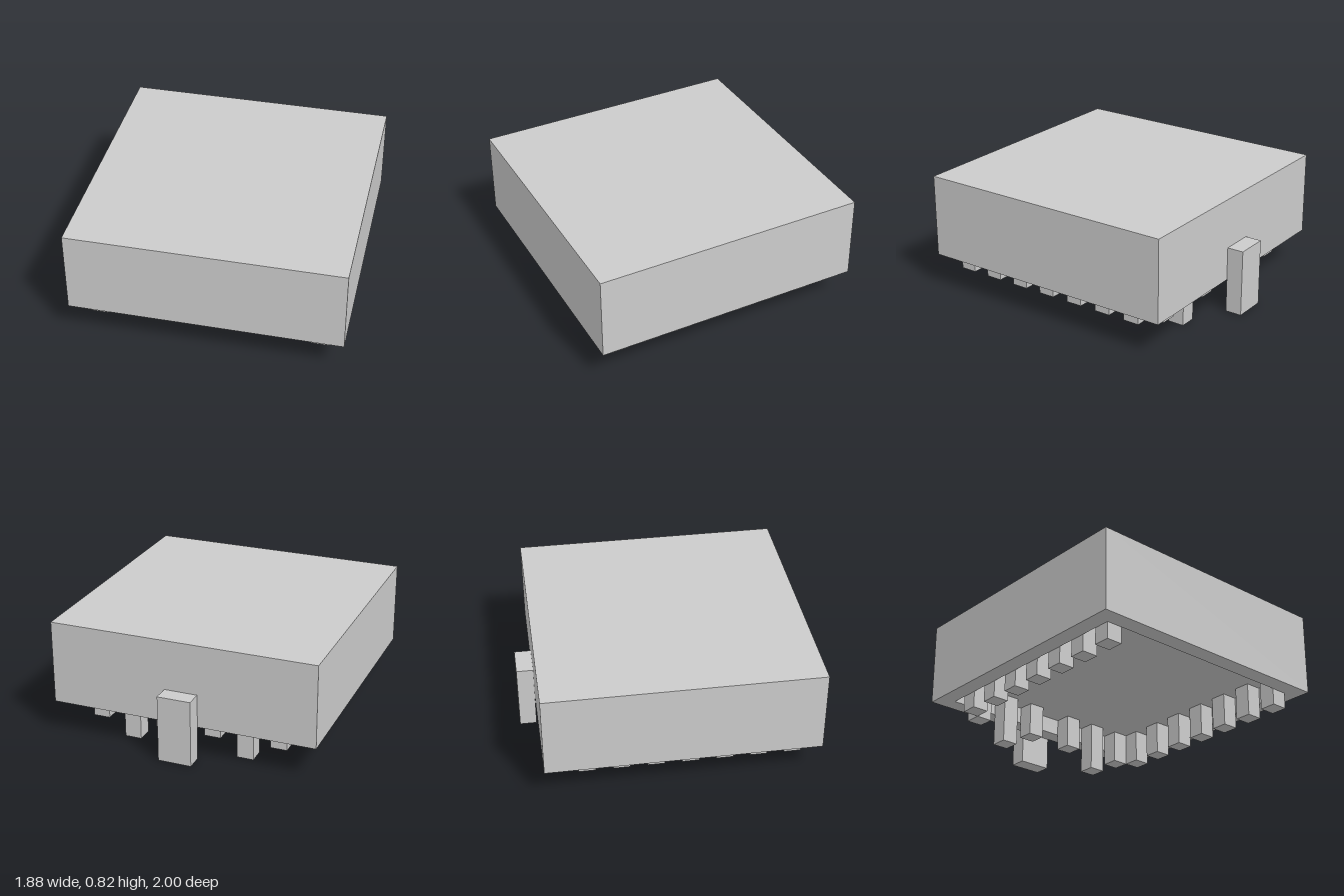
import * as THREE from 'three';

const U = 2 / 17; // one block unit

export function createModel() {
  const model = new THREE.Group();
  model.name = 'blockJaw';
  const material = new THREE.MeshStandardMaterial({ color: 0xcccccc, flatShading: true });

  const add = (name, geometry, x, y, z) => {
    const mesh = new THREE.Mesh(geometry, material);
    mesh.name = name;
    mesh.position.set(x, y, z);
    model.add(mesh);
  };

  // Box given in block units: x centre, bottom y, z centre measured back from the front face
  const block = (name, w, h, d, x, bottom, back) =>
    add(name, new THREE.BoxGeometry(w * U, h * U, d * U), x * U, (bottom + h / 2) * U, 1 - back * U);

  // Square body with a shallow recess below: a four-sided turned profile
  const profile = [[0, 3], [7, 3], [7, 2], [8, 2], [8, 7], [0, 7]]
    .map(([r, y]) => new THREE.Vector2(r * U * Math.SQRT2, y * U));
  const body = new THREE.LatheGeometry(profile, 4, Math.PI / 4).toNonIndexed();
  body.computeVertexNormals();
  add('body', body, 0, 0, 1 - 8 * U);

  for (const side of [-1, 1]) {
    const label = side > 0 ? 'left' : 'right';
    // Side row of teeth, hanging from the recess ceiling
    for (let i = 0; i < 7; i++) {
      block(`${label}SideTooth${i + 1}`, 1, 2, 1, side * 6.5, 1, 1.5 + 2 * i);
    }
    // Back row: short, long, short
    block(`${label}BackOuterTooth`, 1, 2, 1, side * 5.5, 1, 14.5);
    block(`${label}BackFang`, 1, 3, 1, side * 3.5, 0, 14.5);
    block(`${label}BackInnerTooth`, 1, 2, 1, side * 1.5, 1, 14.5);
  }

  // Upright bar on the back face
  block('backBar', 2, 4, 1, 0, 0, 16.5);

  return model;
}
